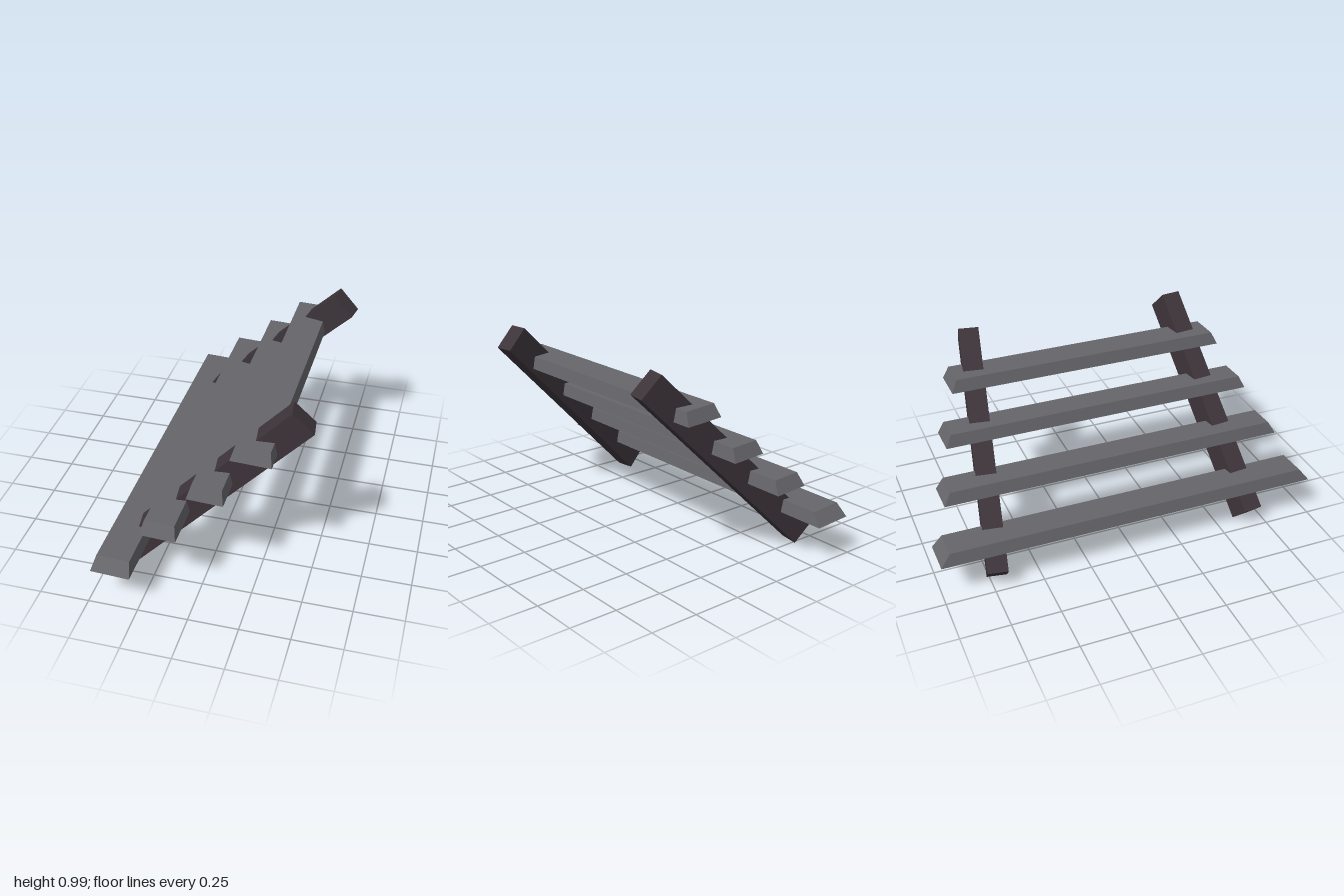
import * as THREE from 'three';

const darkWood = new THREE.MeshStandardMaterial({ color: 0x3d343a });
darkWood.name = 'dark rail';
const greyWood = new THREE.MeshStandardMaterial({ color: 0x66656a });
greyWood.name = 'grey tread';

// Plank whose top face is smaller than its bottom face
function bevelledPlank(width, height, length, insetX, insetZ) {
  const g = new THREE.BoxGeometry(width, height, length);
  const p = g.attributes.position;
  for (let i = 0; i < p.count; i++) {
    if (p.getY(i) < 0) continue;
    p.setX(i, p.getX(i) - Math.sign(p.getX(i)) * insetX);
    p.setZ(i, p.getZ(i) - Math.sign(p.getZ(i)) * insetZ);
  }
  const flat = g.toNonIndexed();
  flat.computeVertexNormals();
  return flat;
}

export function createModel() {
  const group = new THREE.Group();
  group.name = 'stairs';

  // Sloping side rails, converging towards the top
  const rails = [
    ['leftRail', 0.608, 7],
    ['rightRail', -0.645, -9.9],
  ];
  for (const [name, z, yaw] of rails) {
    const rail = new THREE.Mesh(new THREE.BoxGeometry(1.254, 0.146, 0.103), darkWood);
    rail.name = name;
    rail.position.set(0, 0.495, z);
    rail.rotation.set(0, THREE.MathUtils.degToRad(yaw), Math.PI / 4);
    group.add(rail);
  }

  // Treads, shorter towards the top: x, y, z of centre, width, length, end inset
  const treads = [
    [-0.3765, 0.227, 0, 0.195, 2.0, 0.05],
    [-0.1665, 0.417, -0.006, 0.179, 1.815, 0.036],
    [0.042, 0.605, -0.01, 0.177, 1.65, 0.03],
    [0.2365, 0.797, -0.006, 0.197, 1.472, 0.03],
  ];
  treads.forEach(([x, y, z, width, length, inset], i) => {
    const tread = new THREE.Mesh(bevelledPlank(width, 0.064, length, 0.016, inset), greyWood);
    tread.name = `tread${i + 1}`;
    tread.position.set(x, y, z);
    tread.rotation.z = -0.05;
    group.add(tread);
  });

  return group;
}
